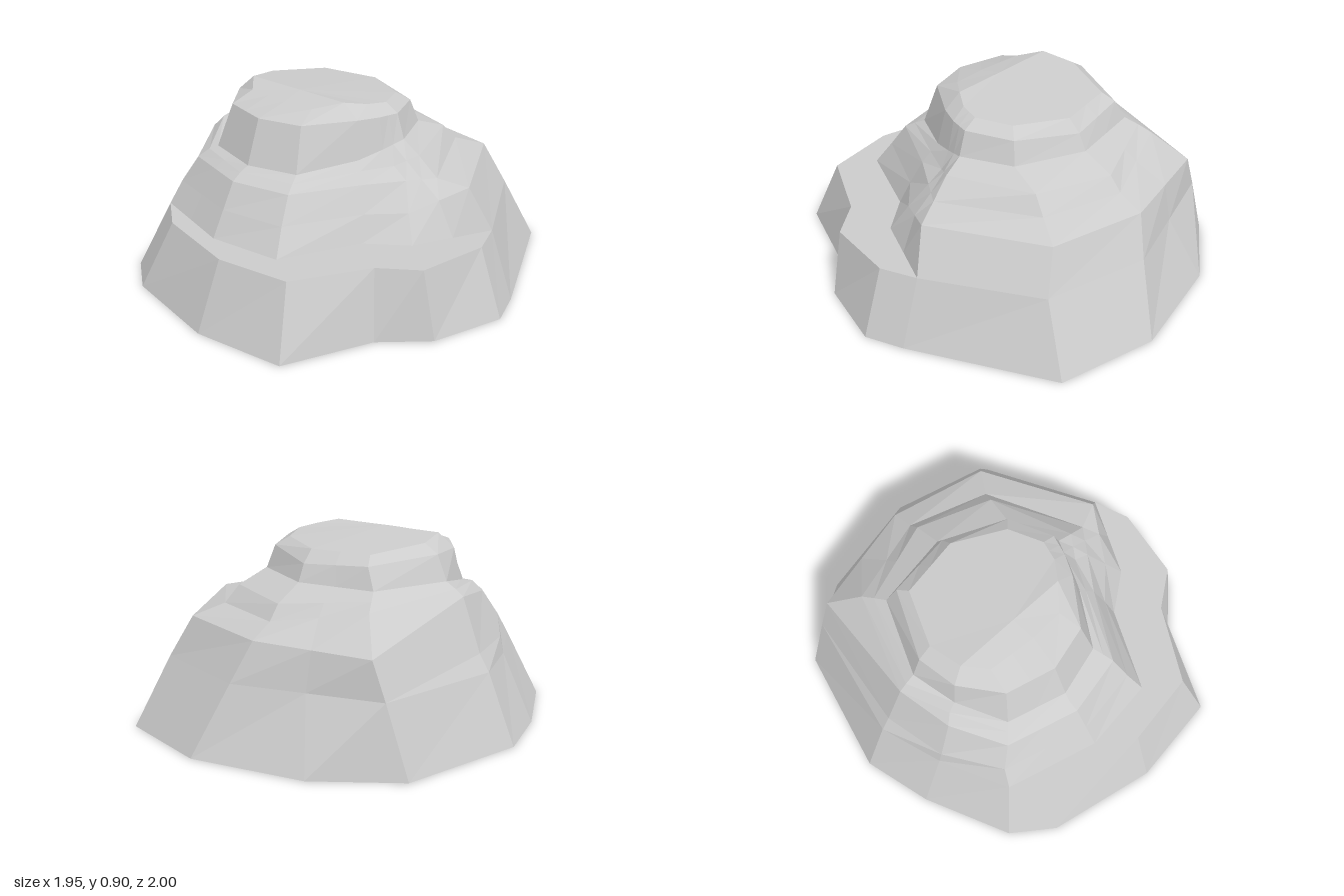
import * as THREE from 'three';

const LEDGE_Y = 0.33;

// Rings run clockwise seen from above, starting at the back.
const flat = (y, pts) => pts.map(([x, z]) => new THREE.Vector3(x, y, z));
const mid = (a, b) => a.clone().lerp(b, 0.5);

// Upper rings have 11 corners; midpoints fill them up to the 14 columns of the foot.
function widen(p) {
  return [...p.slice(0, 3), mid(p[2], p[3]), ...p.slice(3, 7), mid(p[6], p[7]),
    ...p.slice(7), mid(p[10], p[0])];
}
const ring = (pts) => widen(pts.map((p) => new THREE.Vector3(...p)));

const foot = flat(0, [
  [0.12, -1], [0.61, -0.86], [0.91, -0.17], [0.97, 0.02], [0.85, 0.37], [0.65, 0.55], [0.46, 0.96],
  [0, 1], [-0.53, 0.87], [-0.72, 0.72], [-0.9, 0.3], [-0.98, -0.04], [-0.81, -0.66], [-0.44, -0.9]]);

const ledgeOuter = flat(LEDGE_Y, [
  [0.01, -0.85], [0.52, -0.7], [0.79, -0.16], [0.85, 0.02], [0.78, 0.37], [0.6, 0.49], [0.39, 0.83],
  [0.02, 0.87], [-0.42, 0.75], [-0.6, 0.6], [-0.75, 0.27], [-0.84, -0.04], [-0.69, -0.66], [-0.34, -0.755]]);

const ledgeInner = widen(flat(LEDGE_Y, [
  [0.01, -0.85], [0.52, -0.7], [0.79, -0.16], [0.6, 0.21], [0.41, 0.34], [0.22, 0.71],
  [-0.15, 0.74], [-0.6, 0.6], [-0.75, 0.27], [-0.84, -0.04], [-0.69, -0.66]]));

const shoulderLow = ring([
  [-0.06, 0.52, -0.77], [0.42, 0.53, -0.64], [0.69, 0.54, -0.1], [0.53, 0.45, 0.15],
  [0.38, 0.45, 0.29], [0.18, 0.45, 0.63], [-0.15, 0.45, 0.67], [-0.57, 0.44, 0.54],
  [-0.73, 0.41, 0.27], [-0.79, 0.41, -0.04], [-0.62, 0.505, -0.66]]);

const shoulderMid = ring([
  [-0.06, 0.58, -0.65], [0.33, 0.58, -0.51], [0.55, 0.57, -0.04], [0.46, 0.57, 0.08],
  [0.34, 0.57, 0.24], [0.15, 0.57, 0.55], [-0.15, 0.57, 0.6], [-0.5, 0.57, 0.49],
  [-0.64, 0.63, 0.24], [-0.69, 0.66, -0.03], [-0.5, 0.655, -0.51]]);

const shoulderTop = ring([
  [-0.06, 0.65, -0.59], [0.3, 0.66, -0.44], [0.45, 0.66, -0.03], [0.38, 0.62, 0.07],
  [0.3, 0.62, 0.22], [0.13, 0.6, 0.5], [-0.15, 0.6, 0.55], [-0.46, 0.61, 0.45],
  [-0.6, 0.68, 0.21], [-0.65, 0.69, -0.03], [-0.47, 0.69, -0.45]]);

const crownFoot = ring([
  [-0.06, 0.72, -0.44], [0.26, 0.72, -0.28], [0.36, 0.72, -0.03], [0.32, 0.69, 0.08],
  [0.27, 0.66, 0.2], [0.11, 0.625, 0.45], [-0.14, 0.625, 0.51], [-0.43, 0.625, 0.42],
  [-0.55, 0.68, 0.19], [-0.6, 0.72, -0.03], [-0.44, 0.72, -0.39]]);

const crownEdge = ring([
  [-0.06, 0.8, -0.4], [0.23, 0.83, -0.25], [0.32, 0.84, -0.03], [0.29, 0.84, 0.07],
  [0.24, 0.84, 0.17], [0.08, 0.835, 0.38], [-0.14, 0.835, 0.43], [-0.38, 0.835, 0.36],
  [-0.52, 0.835, 0.17], [-0.55, 0.84, -0.03], [-0.39, 0.82, -0.36]]);

const summitEdge = ring([
  [-0.06, 0.86, -0.34], [0.18, 0.87, -0.2], [0.25, 0.88, -0.03], [0.22, 0.89, 0.07],
  [0.15, 0.905, 0.16], [0.05, 0.88, 0.27], [-0.12, 0.88, 0.27], [-0.36, 0.88, 0.24],
  [-0.45, 0.905, 0.14], [-0.48, 0.885, -0.03], [-0.36, 0.86, -0.3]]);

const summit = foot.map(() => new THREE.Vector3(-0.13, 0.905, 0.15));

// Skins a stack of rings from bottom to top, leaving out collapsed triangles.
function loft(name, rings, material) {
  const pos = [];
  const tri = (a, b, c) => {
    if (new THREE.Triangle(a, b, c).getArea() < 1e-6) return;
    for (const p of [a, b, c]) pos.push(p.x, p.y, p.z);
  };
  for (let k = 0; k < rings.length - 1; k++) {
    const lo = rings[k], hi = rings[k + 1];
    for (let i = 0; i < lo.length; i++) {
      const j = (i + 1) % lo.length;
      tri(lo[j], lo[i], hi[i]);
      tri(lo[j], hi[i], hi[j]);
    }
  }
  const geometry = new THREE.BufferGeometry();
  geometry.setAttribute('position', new THREE.Float32BufferAttribute(pos, 3));
  geometry.computeVertexNormals();
  const mesh = new THREE.Mesh(geometry, material);
  mesh.name = name;
  return mesh;
}

export function createModel() {
  const group = new THREE.Group();
  group.name = 'steppedRock';
  // Hollow shell, open underneath
  const stone = new THREE.MeshStandardMaterial({
    color: 0xcccccc, flatShading: true, side: THREE.DoubleSide });
  group.add(
    loft('lowerWall', [foot, ledgeOuter], stone),
    loft('frontLedge', [ledgeOuter, ledgeInner], stone),
    loft('shoulder', [ledgeInner, shoulderLow, shoulderMid, shoulderTop, crownFoot], stone),
    loft('crown', [crownFoot, crownEdge, summitEdge], stone),
    loft('summit', [summitEdge, summit], stone));
  return group;
}
